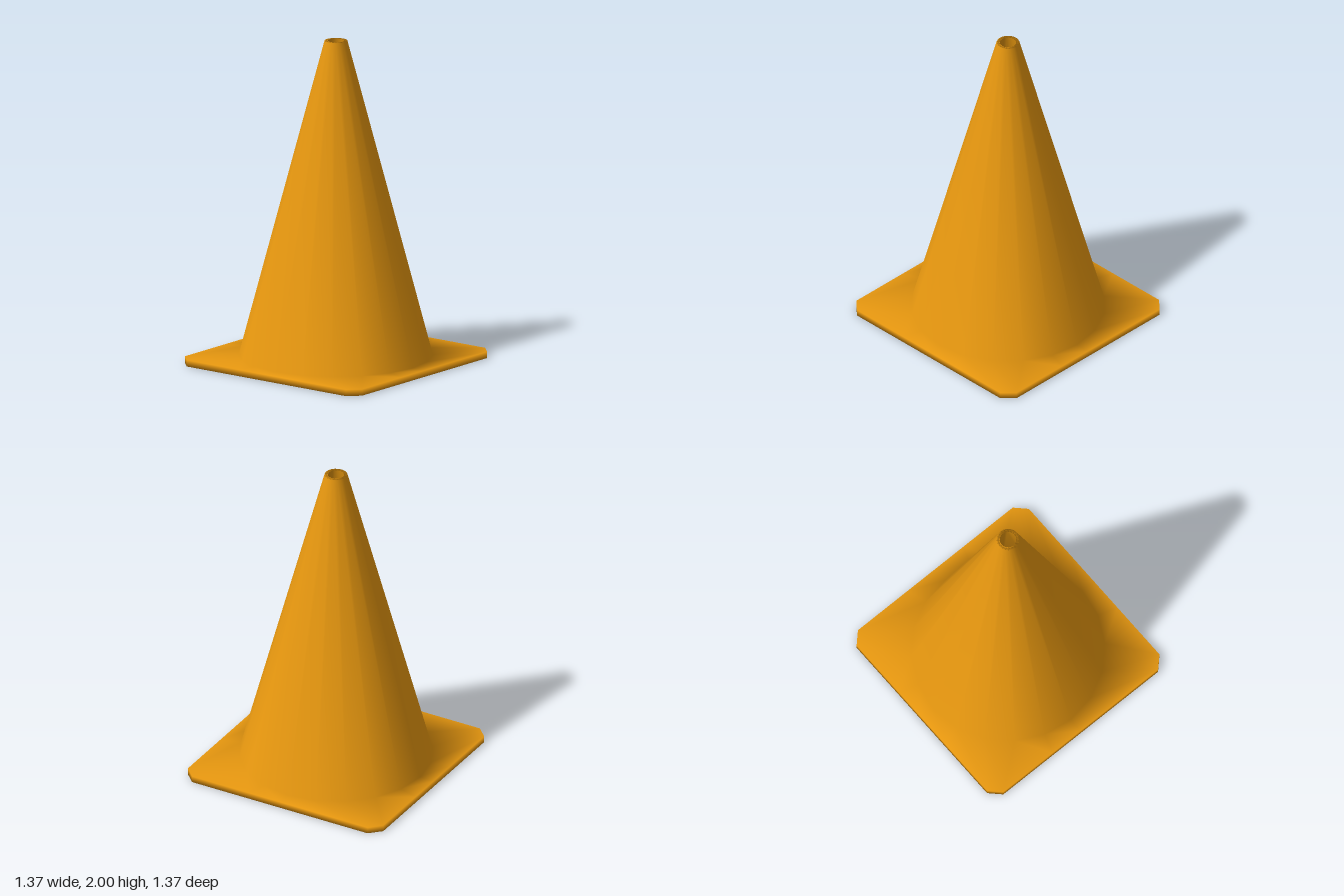
import * as THREE from 'three';

const SIDES = 20;

// Round ring of the cone
function circleRing(radius, y) {
  return Array.from({ length: SIDES }, (_, j) => {
    const a = (j / SIDES) * Math.PI * 2;
    return [Math.cos(a) * radius, y, -Math.sin(a) * radius];
  });
}

// Square ring with cut corners, matched point for point to the round rings
function plateRing(half, cut, y) {
  const h = half, c = half - cut;
  const side = [[h, 0], [h, 0.22], [h, c], [c, h], [0.22, h]];
  return Array.from({ length: SIDES }, (_, j) => {
    let [x, z] = side[j % 5];
    for (let q = 0; q < Math.floor(j / 5); q++) [x, z] = [-z, x];
    return [x, y, -z];
  });
}

// Smooth skin over a closed loop of rings
function skin(rings) {
  const index = [];
  const n = rings.length;
  for (let i = 0; i < n; i++) {
    for (let j = 0; j < SIDES; j++) {
      const k = (j + 1) % SIDES;
      const a = i * SIDES + j, b = i * SIDES + k;
      const c = ((i + 1) % n) * SIDES + j, d = ((i + 1) % n) * SIDES + k;
      index.push(a, b, c, b, d, c);
    }
  }
  const geometry = new THREE.BufferGeometry();
  geometry.setAttribute('position', new THREE.Float32BufferAttribute(rings.flat(2), 3));
  geometry.setIndex(index);
  geometry.computeVertexNormals();
  return geometry;
}

export function createModel() {
  const group = new THREE.Group();
  group.name = 'trafficCone';

  // Hollow cone and its foot plate in one skin: underside, plate edge, outer wall, rim, inner wall
  const cone = new THREE.Mesh(
    skin([
      circleRing(0.565, 0),
      plateRing(0.685, 0.07, 0),
      plateRing(0.685, 0.07, 0.04),
      circleRing(0.59, 0.04),
      circleRing(0.07, 2),
      circleRing(0.05, 2),
    ]),
    new THREE.MeshStandardMaterial({ color: 0xe5960f })
  );
  cone.name = 'coneWithFootPlate';
  group.add(cone);
  return group;
}
